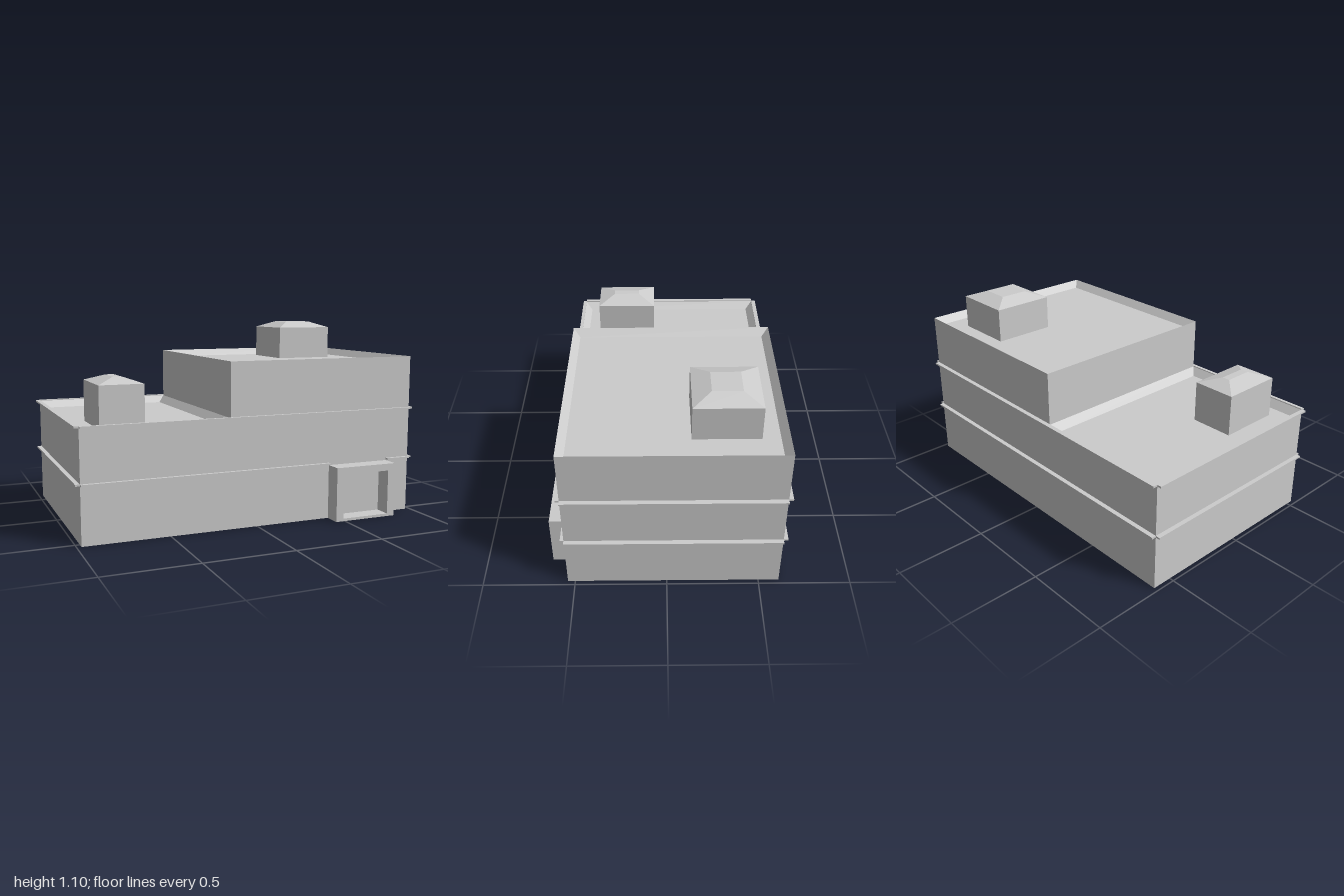
import * as THREE from 'three';

const material = new THREE.MeshStandardMaterial({ color: 0xcccccc, flatShading: true });

function add(group, name, geometry) {
  const mesh = new THREE.Mesh(geometry, material);
  mesh.name = name;
  group.add(mesh);
  return mesh;
}

// Box given by its limits on each axis
function box(x0, x1, y0, y1, z0, z1) {
  return new THREE.BoxGeometry(x1 - x0, y1 - y0, z1 - z0)
    .translate((x0 + x1) / 2, (y0 + y1) / 2, (z0 + z1) / 2);
}

// Closed solid through rectangular rings [y, x inset, z inset] of one footprint
function loft(x0, x1, z0, z1, rings) {
  const corners = rings.map(([y, dx, dz]) => [
    [x0 + dx, y, z1 - dz], [x1 - dx, y, z1 - dz],
    [x1 - dx, y, z0 + dz], [x0 + dx, y, z0 + dz],
  ]);
  const positions = [];
  const quad = (a, b, c, d) => positions.push(...a, ...b, ...c, ...a, ...c, ...d);
  for (let i = 0; i < corners.length - 1; i++) {
    const low = corners[i], high = corners[i + 1];
    for (let k = 0; k < 4; k++) {
      const n = (k + 1) % 4;
      quad(low[k], low[n], high[n], high[k]);
    }
  }
  const first = corners[0], last = corners[corners.length - 1];
  quad(first[3], first[2], first[1], first[0]);
  quad(last[0], last[1], last[2], last[3]);
  const geometry = new THREE.BufferGeometry();
  geometry.setAttribute('position', new THREE.Float32BufferAttribute(positions, 3));
  geometry.computeVertexNormals();
  return geometry;
}

export function createModel() {
  const group = new THREE.Group();
  group.name = 'building';

  const X = 0.975, BACK = -0.612, FRONT = 0.54, STEP = -0.16;
  const rim = 0.04, out = 0.025;

  // Two wings, each with a sunken roof inside a sloping parapet
  const wing = (x0, x1, top) => loft(x0, x1, BACK, FRONT,
    [[0, 0, 0], [top, 0, 0], [top - rim, rim, rim]]);
  add(group, 'lowWing', wing(STEP, -X, 0.61).scale(1, 1, 1)).geometry = wing(-X, STEP, 0.61);
  add(group, 'tallWing', wing(STEP, X, 0.912));

  // Thin ledges along the walls, the lower front one broken by the porch
  const porchLeft = 0.825, porchRight = 0.445;
  for (const [name, y] of [['lowerLedge', 0.312], ['upperLedge', 0.605]]) {
    const ledge = new THREE.Group();
    ledge.name = name;
    group.add(ledge);
    const top = y + 0.01;
    add(ledge, 'backLedge', box(-X, X, y, top, BACK - out, BACK));
    add(ledge, 'leftLedge', box(X, X + out, y, top, BACK, FRONT));
    add(ledge, 'rightLedge', box(-X - out, -X, y, top, BACK, FRONT));
    const spans = name === 'lowerLedge' ? [[-X, porchRight], [porchLeft, X]] : [[-X, X]];
    for (const [a, b] of spans) {
      add(ledge, 'frontLedge', box(a, b, y, top, FRONT, FRONT + 0.02));
    }
  }

  // Porch frame around the entrance
  const frame = new THREE.Shape([
    [porchRight, 0], [porchLeft, 0], [porchLeft, 0.308], [porchRight, 0.308],
  ].map(([x, y]) => new THREE.Vector2(x, y)));
  frame.holes.push(new THREE.Path([
    [0.49, 0.015], [0.49, 0.268], [0.78, 0.268], [0.78, 0.015],
  ].map(([x, y]) => new THREE.Vector2(x, y))));
  const porch = new THREE.ExtrudeGeometry(frame, { depth: 0.095, bevelEnabled: false });
  add(group, 'porch', porch.translate(0, 0, FRONT));

  // Rooftop huts with flat-topped hipped roofs
  add(group, 'lowRoofHut', loft(-0.843, -0.598, 0.068, 0.42,
    [[0.57, 0, 0], [0.80, 0, 0], [0.833, 0.1, 0.098]]));
  add(group, 'tallRoofHut', loft(0.46, 0.808, -0.477, -0.124,
    [[0.872, 0, 0], [1.065, 0, 0], [1.101, 0.094, 0.098]]));

  return group;
}
